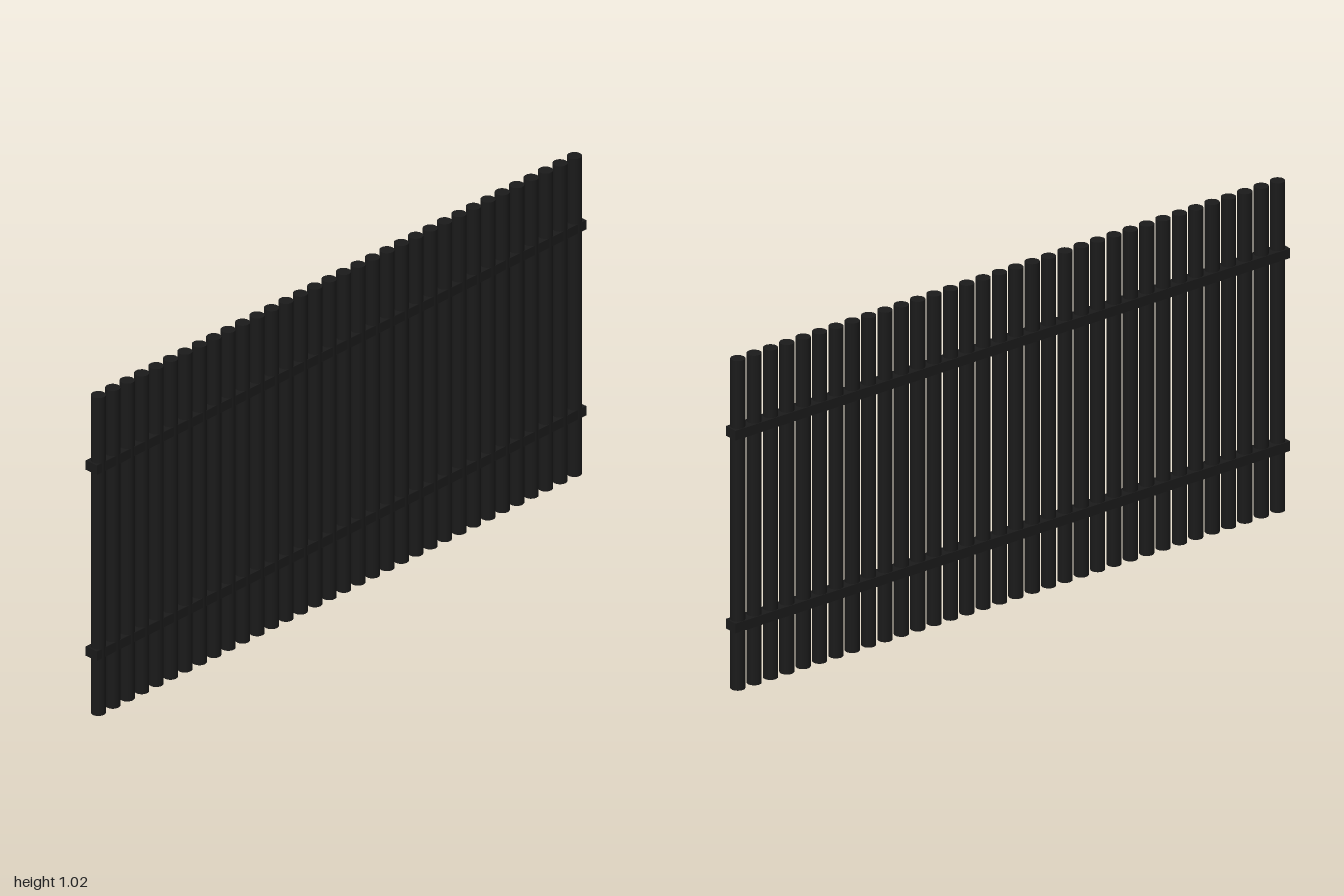
import * as THREE from 'three';

export function createModel() {
  const group = new THREE.Group();
  group.name = 'fencePanel';
  const material = new THREE.MeshStandardMaterial({ color: 0x1a1a1a });

  // Upright round bars, evenly spaced
  const bars = new THREE.Group();
  bars.name = 'bars';
  const count = 34, reach = 0.973, height = 1.022;
  const barGeometry = new THREE.CylinderGeometry(0.0215, 0.0215, height, 20);
  for (let i = 0; i < count; i++) {
    const bar = new THREE.Mesh(barGeometry, material);
    bar.name = 'bar' + (i + 1);
    bar.position.set(-reach + (2 * reach * i) / (count - 1), height / 2, 0.001);
    bars.add(bar);
  }
  group.add(bars);

  // Two horizontal rails that the bars pass through
  const railGeometry = new THREE.BoxGeometry(2, 0.03, 0.044);
  for (const [name, y] of [['lowerRail', 0.199], ['upperRail', 0.797]]) {
    const rail = new THREE.Mesh(railGeometry, material);
    rail.name = name;
    rail.position.set(0, y, -0.0005);
    group.add(rail);
  }
  return group;
}
